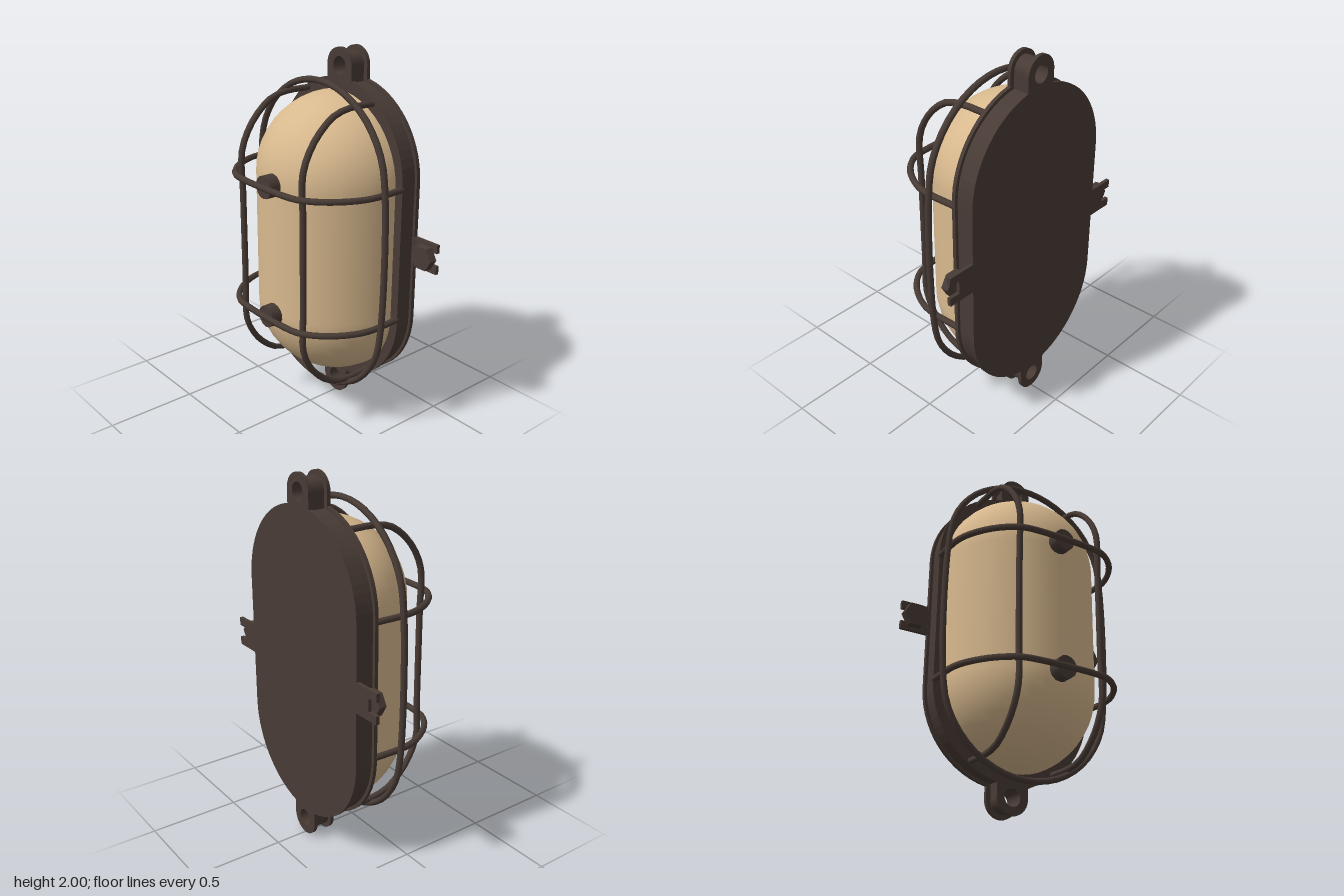
import * as THREE from 'three';

const metal = new THREE.MeshStandardMaterial({ color: 0x483b35 });
metal.name = 'dark bronze metal';
const glass = new THREE.MeshStandardMaterial({ color: 0xd8b98e });
glass.name = 'warm frosted glass';

const MID = 1; // height of the lamp's centre
const HALF = 0.37; // half length of the straight sides

function add(parent, name, geometry, material = metal) {
  const mesh = new THREE.Mesh(geometry, material);
  mesh.name = name;
  parent.add(mesh);
  return mesh;
}

// Plate extruded from z0 to z1
function plate(shape, z0, z1) {
  return new THREE.ExtrudeGeometry(shape, { depth: z1 - z0, bevelEnabled: false, curveSegments: 16 })
    .translate(0, 0, z0);
}

// Long rounded outline with semicircular ends
function oval(r) {
  const s = new THREE.Shape();
  s.absarc(0, MID + HALF, r, 0, Math.PI, false);
  s.absarc(0, MID - HALF, r, Math.PI, Math.PI * 2, false);
  s.closePath();
  return s;
}

// Rounded ear with a round hole
function ear(r, hole) {
  const cy = 1.907, s = new THREE.Shape();
  s.moveTo(-r, 1.78);
  s.lineTo(r, 1.78);
  s.lineTo(r, cy);
  s.absarc(0, cy, r, 0, Math.PI, false);
  s.closePath();
  const h = new THREE.Path();
  h.absarc(0, cy, hole, 0, Math.PI * 2, true);
  s.holes.push(h);
  return s;
}

function wire(points, closed = false) {
  const curve = new THREE.CatmullRomCurve3(points, closed, 'centripetal');
  return new THREE.TubeGeometry(curve, closed ? 72 : 40, 0.017, 8, closed);
}

export function createModel() {
  const model = new THREE.Group();
  model.name = 'bulkheadLamp';

  // Base: body between two slightly wider rims
  const base = new THREE.Group();
  base.name = 'base';
  model.add(base);
  add(base, 'backRim', plate(oval(0.475), -0.322, -0.3));
  add(base, 'baseBody', plate(oval(0.46), -0.3, -0.215));
  add(base, 'frontRim', plate(oval(0.478), -0.215, -0.195));

  // Hanging ears, top and bottom
  for (const end of ['top', 'bottom']) {
    const lug = new THREE.Group();
    lug.name = end + 'Ear';
    add(lug, 'earBackPlate', plate(ear(0.093, 0.047), -0.321, -0.301));
    add(lug, 'earSleeve', plate(ear(0.068, 0.047), -0.301, -0.214));
    add(lug, 'earFrontPlate', plate(ear(0.093, 0.047), -0.214, -0.194));
    if (end === 'bottom') {
      lug.rotation.z = Math.PI;
      lug.position.y = 2 * MID;
    }
    model.add(lug);
  }

  // Slotted side brackets with hexagonal bolts
  for (const side of [1, -1]) {
    const bracket = new THREE.Group();
    bracket.name = side > 0 ? 'leftBracket' : 'rightBracket';
    const outline = [[0.44, -0.08], [0.63, -0.08], [0.63, -0.035], [0.57, -0.035],
      [0.57, 0.035], [0.63, 0.035], [0.63, 0.08], [0.44, 0.08]];
    const shape = new THREE.Shape(outline.map(([x, y]) => new THREE.Vector2(x, y)));
    add(bracket, 'slottedTab', plate(shape, -0.322, -0.302));
    const bolt = add(bracket, 'bolt', new THREE.CylinderGeometry(0.068, 0.07, 0.043, 6).toNonIndexed());
    bolt.geometry.computeVertexNormals();
    bolt.geometry.rotateX(Math.PI / 2).rotateZ(Math.PI / 2);
    bolt.position.set(0.56, 0, -0.281);
    bracket.position.y = MID + 0.005;
    if (side < 0) bracket.rotation.z = Math.PI;
    model.add(bracket);
  }

  // Glass dome: front half of a capsule with a flat back
  const dome = new THREE.CapsuleGeometry(0.43, 0.71, 12, 36);
  const p = dome.attributes.position;
  for (let i = 0; i < p.count; i++) p.setZ(i, Math.max(0, p.getZ(i)));
  dome.scale(1, 1, 1.035).translate(0, MID, -0.198);
  add(model, 'glassDome', dome, glass);

  // Wire cage
  const cage = new THREE.Group();
  cage.name = 'cage';
  model.add(cage);

  // Oval hoop around the dome
  const hoop = [];
  for (const dir of [0, 1]) {
    for (let i = 0; i <= 8; i++) {
      const a = Math.PI * (dir + i / 8);
      hoop.push(new THREE.Vector3(0.495 * Math.cos(a), MID + (dir ? -HALF : HALF) + 0.48 * Math.sin(a), -0.058));
    }
  }
  add(cage, 'ovalHoop', wire(hoop, true));

  // Upright bars: half profile [distance from centre, z], mirrored
  const upright = [[0.755, -0.205], [0.755, -0.04], [0.735, 0.05], [0.685, 0.125], [0.6, 0.2], [0.48, 0.252], [0.25, 0.252]];
  // Cross bars, bowed further out
  const cross = [[0.468, -0.205], [0.468, 0], [0.435, 0.1], [0.36, 0.21], [0.26, 0.285], [0.17, 0.303]];
  const mirrored = (half) => [...half, ...half.map(([d, z]) => [-d, z]).reverse()];

  for (const x of [-0.248, 0.248]) {
    add(cage, 'uprightBar', wire(mirrored(upright).map(([d, z]) => new THREE.Vector3(x, MID + d, z))));
  }
  for (const y of [MID - 0.36, MID + 0.36]) {
    add(cage, 'crossBar', wire(mirrored(cross).map(([d, z]) => new THREE.Vector3(d, y, z))));
    // Round spacer between dome and cross bar
    const spacer = add(cage, 'spacer', new THREE.CylinderGeometry(0.06, 0.06, 0.075, 14));
    spacer.geometry.rotateX(Math.PI / 2);
    spacer.position.set(0, y, 0.267);
  }

  return model;
}
